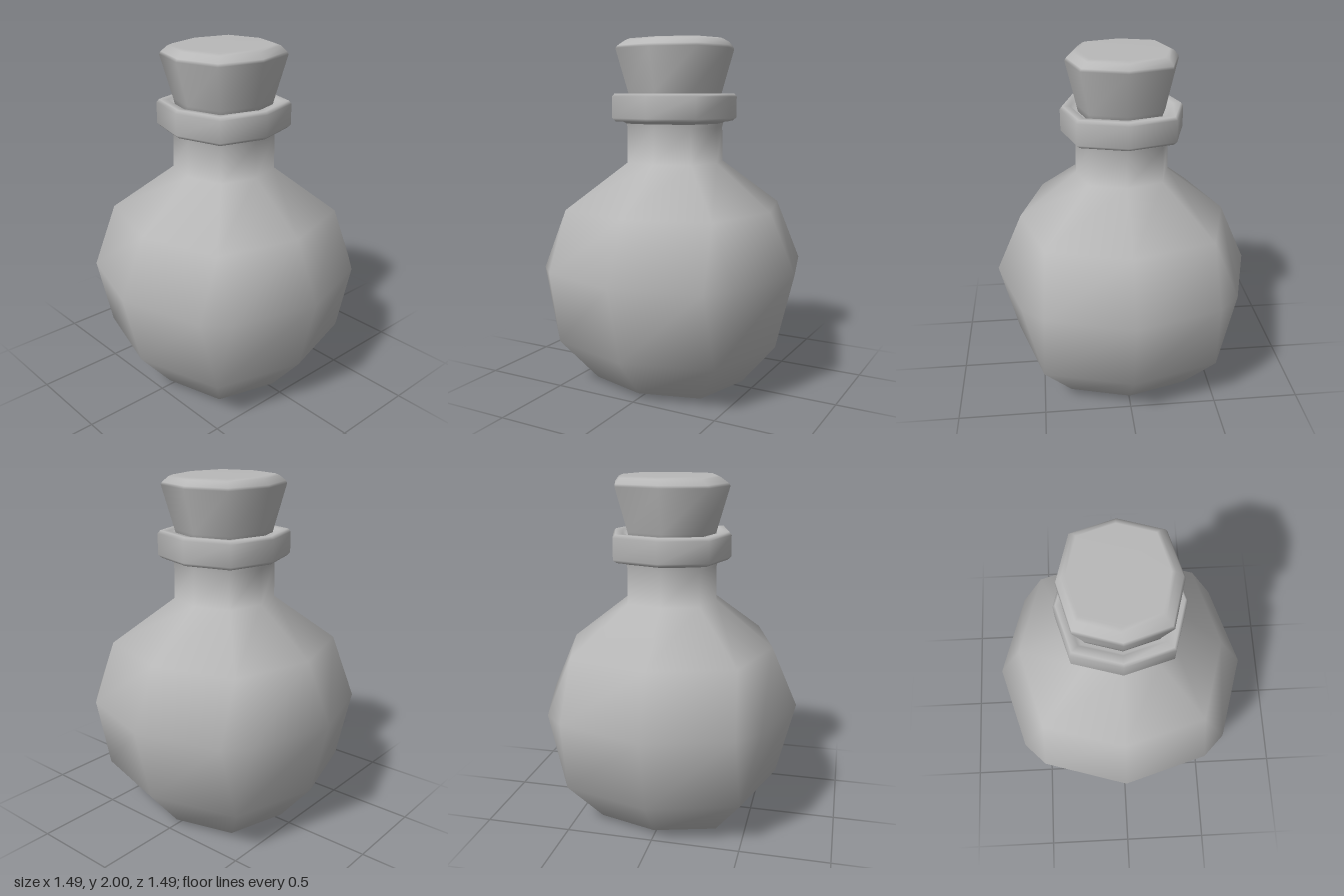
import * as THREE from 'three';
import { mergeVertices } from 'three/addons/utils/BufferGeometryUtils.js';

const grey = new THREE.MeshStandardMaterial({ color: 0xb8b8b8 });
grey.name = 'plain grey';

// Squarish octagonal cross-section; "cut" splits each corner into two points
function section({ y, r, cut = 0, sx = 1, sz = 1, ox = 0, oz = 0 }) {
  const c = r * 0.775;
  const quarter = [[0, r], [c * (1 - cut), c * (1 + cut * 0.24)], [c * (1 + cut * 0.24), c * (1 - cut)]];
  const points = [];
  for (let q = 0; q < 4; q++) {
    for (const [px, pz] of quarter) {
      let x = px, z = pz;
      for (let k = 0; k < q; k++) [x, z] = [z, -x];
      points.push([x * sx + ox, y, z * sz + oz]);
    }
  }
  return points;
}

// Skin the cross-sections from bottom to top, with optional end caps
function loft(name, rings, bottomY, topY) {
  const n = 12;
  const positions = rings.flatMap((ring) => section(ring).flat());
  const index = [];
  for (let j = 0; j < rings.length - 1; j++) {
    for (let i = 0; i < n; i++) {
      const a = j * n + i, b = j * n + ((i + 1) % n);
      index.push(a, b, b + n, a, b + n, a + n);
    }
  }
  const cap = (j, y, up) => {
    const { ox = 0, oz = 0 } = rings[j];
    const centre = positions.length / 3;
    positions.push(ox, y, oz);
    for (let i = 0; i < n; i++) {
      const a = j * n + i, b = j * n + ((i + 1) % n);
      if (up) index.push(centre, a, b);
      else index.push(centre, b, a);
    }
  };
  if (bottomY !== undefined) cap(0, bottomY, false);
  if (topY !== undefined) cap(rings.length - 1, topY, true);

  let geometry = new THREE.BufferGeometry();
  geometry.setAttribute('position', new THREE.Float32BufferAttribute(positions, 3));
  geometry.setIndex(index);
  geometry = mergeVertices(geometry, 1e-4);
  geometry.computeVertexNormals();
  const mesh = new THREE.Mesh(geometry, grey);
  mesh.name = name;
  return mesh;
}

export function createModel() {
  const group = new THREE.Group();
  group.name = 'corkedFlask';

  // Round belly, shoulders and straight neck
  group.add(loft('flaskBody', [
    { y: 0, r: 0.33 },
    { y: 0.03, r: 0.44 },
    { y: 0.27, r: 0.64 },
    { y: 0.7, r: 0.745, cut: 0.168 },
    { y: 1.04, r: 0.595 },
    { y: 1.3, r: 0.265 },
    { y: 1.5, r: 0.262 },
    { y: 1.56, r: 0.275 },
  ], 0));

  // Bevelled lip around the mouth, turning inwards
  group.add(loft('neckLip', [
    { y: 1.52, r: 0.262 },
    { y: 1.535, r: 0.285 },
    { y: 1.537, r: 0.325 },
    { y: 1.555, r: 0.344 },
    { y: 1.675, r: 0.344 },
    { y: 1.693, r: 0.33 },
    { y: 1.69, r: 0.285 },
    { y: 1.66, r: 0.265 },
  ], undefined, 1.65));

  // Tapered stopper with a softened top edge
  group.add(loft('cork', [
    { y: 1.62, r: 0.235, sz: 1.03 },
    { y: 1.7, r: 0.253, sz: 1.03 },
    { y: 1.945, r: 0.31, sz: 1.07 },
    { y: 1.96, r: 0.303, sz: 1.07, ox: -0.003, oz: -0.004 },
    { y: 1.99, r: 0.272, sz: 1.07, ox: -0.008, oz: -0.012 },
    { y: 2, r: 0.25, sz: 1.07, ox: -0.008, oz: -0.012 },
  ], 1.62, 1.99));

  return group;
}
